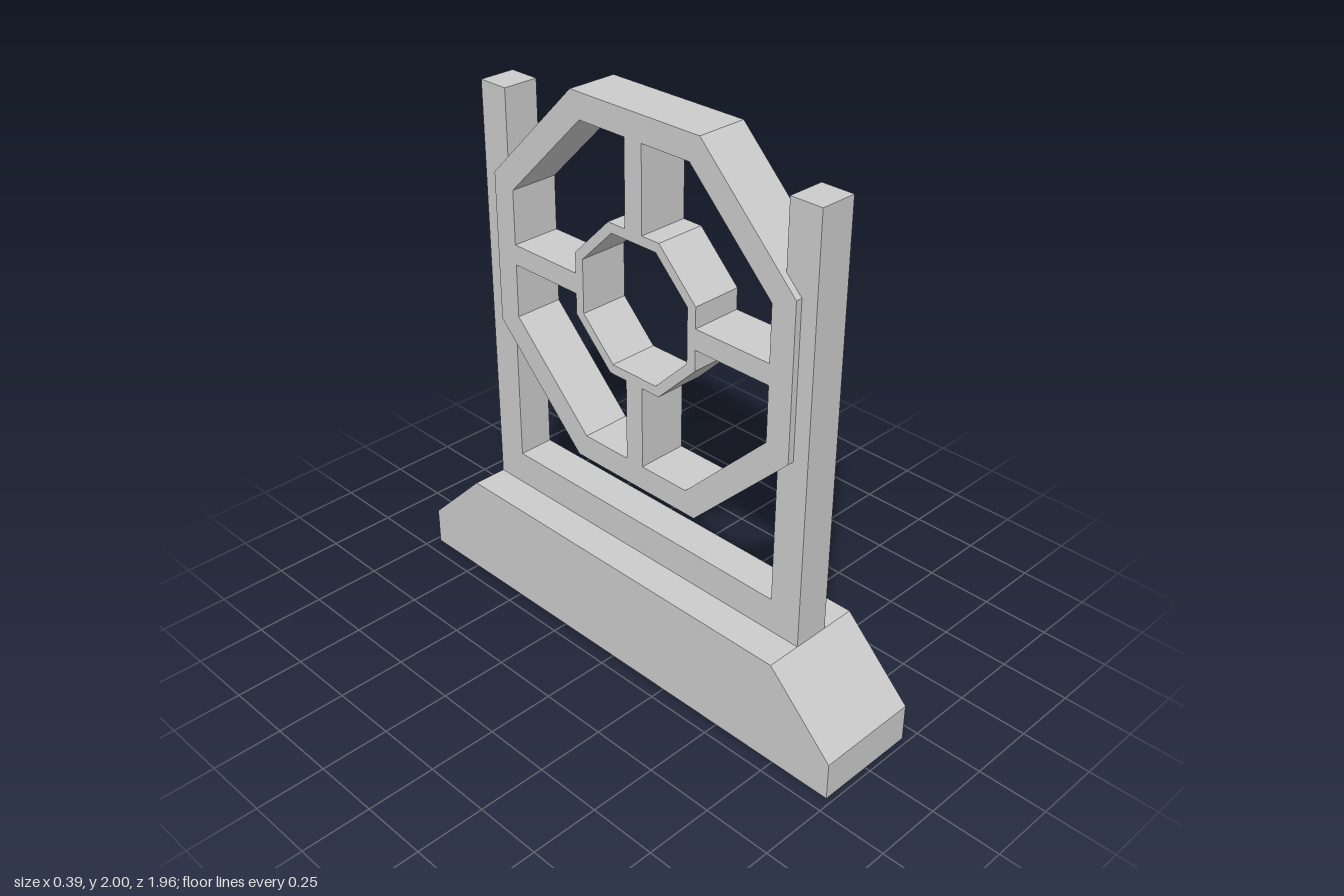
import * as THREE from 'three';

const material = new THREE.MeshStandardMaterial({ color: 0xcccccc, flatShading: true });
const toPoints = (list) => list.map(([z, y]) => new THREE.Vector2(z, y));

// Outline in the (z, y) plane, extruded to a given width centred on x = 0
function slab(name, outline, width, holes = []) {
  const shape = new THREE.Shape(toPoints(outline));
  for (const hole of holes) shape.holes.push(new THREE.Path(toPoints(hole)));
  const geometry = new THREE.ExtrudeGeometry(shape, { depth: width, bevelEnabled: false });
  geometry.translate(0, 0, -width / 2).rotateY(-Math.PI / 2);
  const mesh = new THREE.Mesh(geometry, material);
  mesh.name = name;
  return mesh;
}

// Octagon with half-size r and half-length c of its straight sides
const octagon = (r, c) => [
  [r, -c], [r, c], [c, r], [-c, r], [-r, c], [-r, -c], [-c, -r], [c, -r],
];

export function createModel() {
  const group = new THREE.Group();

  // Plinth with sloping ends
  group.add(slab('base', [
    [-0.98, 0], [0.98, 0], [0.98, 0.14], [0.725, 0.39], [-0.725, 0.39], [-0.98, 0.14],
  ], 0.39));

  // Two posts joined by a low sill
  group.add(slab('uprightFrame', [
    [-0.725, 0.39], [0.725, 0.39], [0.725, 1.91], [0.607, 1.91],
    [0.607, 0.515], [-0.607, 0.515], [-0.607, 1.91], [-0.725, 1.91],
  ], 0.134));

  // Octagonal wheel: hub opening and four openings between the spokes
  const s = 0.037;
  const opening = [
    [s, 0.57], [0.235, 0.57], [0.57, 0.235], [0.57, s],
    [0.27, s], [0.27, 0.112], [0.112, 0.27], [s, 0.27],
  ];
  const holes = [octagon(0.235, 0.098)];
  for (const sz of [-1, 1]) {
    for (const sy of [-1, 1]) holes.push(opening.map(([z, y]) => [z * sz, y * sy]));
  }
  const wheel = slab('wheel', octagon(0.66, 0.275), 0.185, holes);
  wheel.position.set(0.002, 1.34, 0.008);
  group.add(wheel);

  return group;
}
